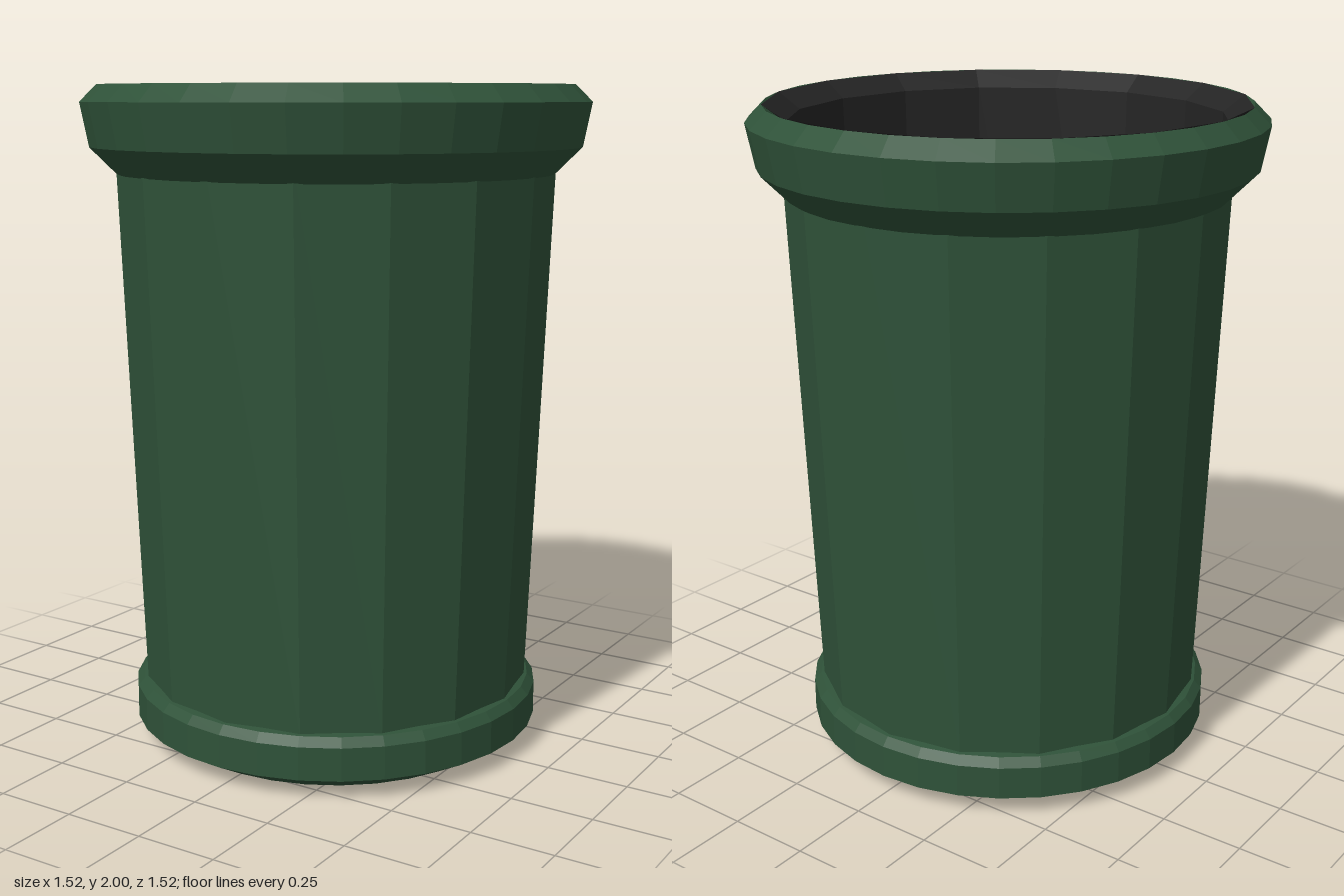
import * as THREE from 'three';

const material = (name, color) => new THREE.MeshStandardMaterial({
  name, color, flatShading: true, side: THREE.DoubleSide,
});

// Faceted ring turned from [radius, height] pairs
function turned(name, profile, sides, mat) {
  const points = profile.map(([r, y]) => new THREE.Vector2(r, y));
  const geometry = new THREE.LatheGeometry(points, sides).toNonIndexed();
  geometry.computeVertexNormals();
  const mesh = new THREE.Mesh(geometry, mat);
  mesh.name = name;
  return mesh;
}

export function createModel() {
  const green = material('dark green', 0x2f5239);
  const black = material('charcoal', 0x242424);
  const bin = new THREE.Group();
  bin.name = 'bin';

  // Tapered body, open at both ends
  bin.add(turned('body', [[0.6, 0.18], [0.66, 1.8]], 16, green));

  // Bevelled foot ring, open underneath
  bin.add(turned('footRing',
    [[0.525, 0], [0.632, 0.06], [0.632, 0.16], [0.61, 0.185], [0.585, 0.19]], 32, green));

  // Flared collar around the opening
  bin.add(turned('collar',
    [[0.64, 1.74], [0.655, 1.74], [0.735, 1.82], [0.76, 1.95], [0.71, 2], [0.65, 1.93]], 32, green));

  // Dark liner: sloped lip, tapered wall and raised floor
  bin.add(turned('liner', [[0.71, 2], [0.645, 1.95], [0.608, 0.54]], 16, black));
  const floor = new THREE.Mesh(new THREE.CircleGeometry(0.608, 16), black);
  floor.name = 'floor';
  floor.rotation.x = -Math.PI / 2;
  floor.position.y = 0.54;
  bin.add(floor);

  return bin;
}
